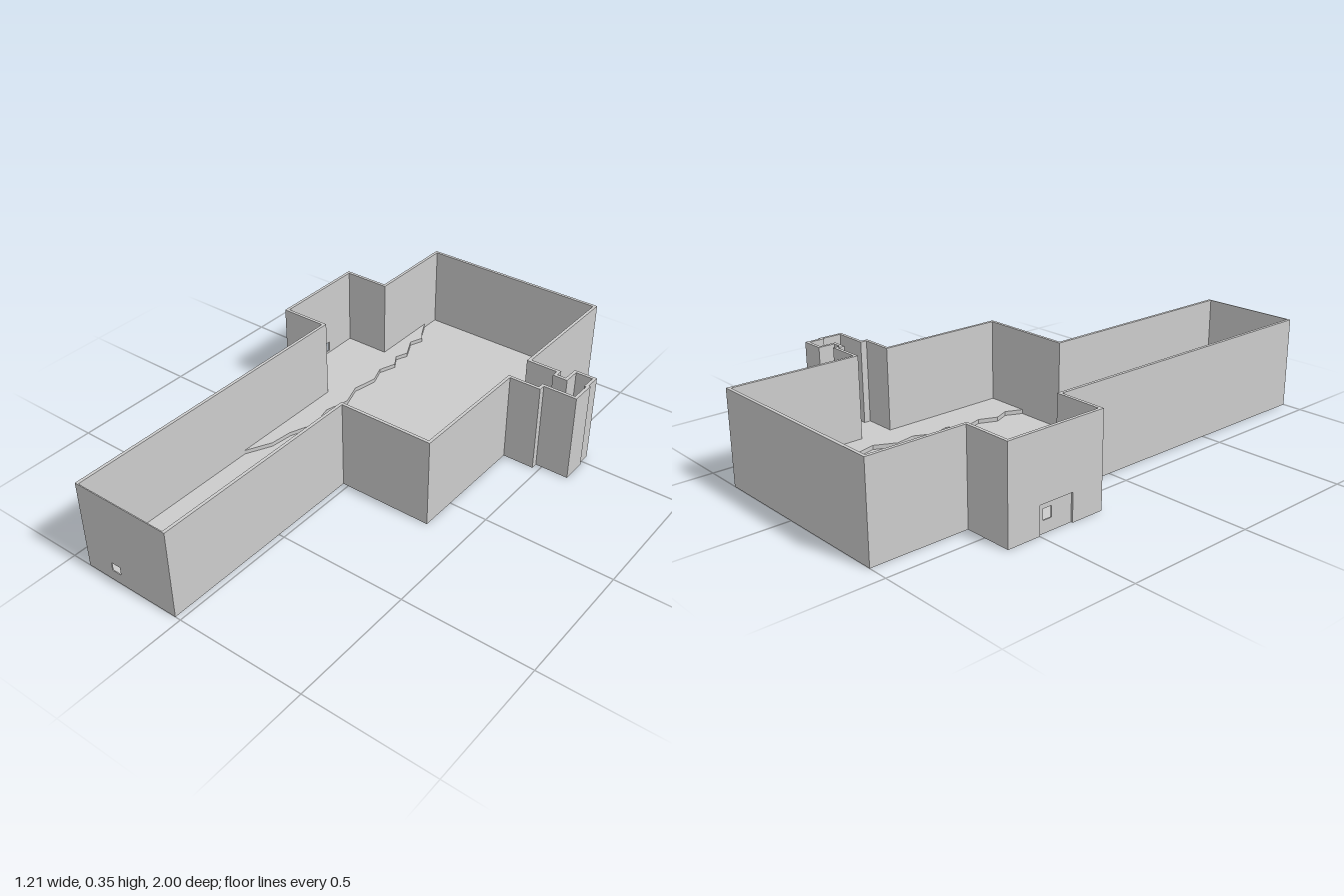
import * as THREE from 'three';

const HEIGHT = 0.35, WALL = 0.012, BASE = 0.02, BANK = 0.036;
const material = new THREE.MeshStandardMaterial({ color: 0xcccccc, flatShading: true });

function addMesh(group, name, geometry) {
  const mesh = new THREE.Mesh(geometry, material);
  mesh.name = name;
  group.add(mesh);
  return mesh;
}

// Raise a plan outline of [x, z] points from y0 to y1
function raise(points, y0, y1) {
  const shape = new THREE.Shape(points.map(([x, z]) => new THREE.Vector2(x, -z)));
  const geo = new THREE.ExtrudeGeometry(shape, { depth: y1 - y0, bevelEnabled: false });
  return geo.rotateX(-Math.PI / 2).translate(0, y0, 0);
}

// Offset a right-angled path towards the inside of the rooms
function inset(path, t) {
  const normal = (a, b) => {
    const dx = b[0] - a[0], dz = b[1] - a[1], l = Math.hypot(dx, dz);
    return [-dz / l, dx / l];
  };
  return path.map((p, i) => {
    const n1 = i > 0 ? normal(path[i - 1], p) : [0, 0];
    const n2 = i < path.length - 1 ? normal(p, path[i + 1]) : [0, 0];
    return [p[0] + t * (n1[0] + n2[0]), p[1] + t * (n1[1] + n2[1])];
  });
}

// Upright panel with one rectangular opening
function panel(u0, u1, v0, v1, hole, depth) {
  const rect = (a, b, c, d) => [[a, c], [b, c], [b, d], [a, d]].map(p => new THREE.Vector2(...p));
  const shape = new THREE.Shape(rect(u0, u1, v0, v1));
  shape.holes.push(new THREE.Path(rect(...hole)));
  return new THREE.ExtrudeGeometry(shape, { depth, bevelEnabled: false });
}

export function createModel() {
  const group = new THREE.Group();

  // Outer wall lines, from the front round to the doorway, then on to the front
  const sideWall = [[-0.422, 0.996], [-0.422, -0.23], [-0.607, -0.23], [-0.607, -0.36]];
  const mainWall = [
    [-0.607, -0.5], [-0.607, -0.63], [-0.422, -0.63], [-0.422, -1], [0.35, -1],
    [0.35, -0.503], [0.475, -0.503], [0.475, -0.475], [0.51, -0.475], [0.51, -0.54],
    [0.6, -0.54], [0.6, -0.48], [0.607, -0.48], [0.607, -0.38], [0.475, -0.38],
    [0.475, -0.355], [0.35, -0.355], [0.35, 0.145], [-0.022, 0.145], [-0.022, 0.996],
  ];
  const sideInner = inset(sideWall, WALL), mainInner = inset(mainWall, WALL);
  addMesh(group, 'sideWall', raise([...sideWall, ...[...sideInner].reverse()], 0, HEIGHT));
  addMesh(group, 'mainWall', raise([...mainWall, ...[...mainInner].reverse()], 0, HEIGHT));

  // Thin end wall with a small opening
  const end = panel(-0.422, -0.022, 0, HEIGHT, [-0.305, -0.265, 0.042, 0.075], 0.004);
  addMesh(group, 'frontWall', end).position.z = 0.996;

  // Doorway: wall above, and a recessed door with a hatch below
  const lintel = new THREE.BoxGeometry(WALL, HEIGHT - 0.105, 0.14);
  addMesh(group, 'doorLintel', lintel).position.set(-0.607 + WALL / 2, (HEIGHT + 0.105) / 2, -0.43);
  const door = panel(-0.5, -0.36, 0, 0.105, [-0.48, -0.445, 0.045, 0.085], 0.005);
  door.rotateY(-Math.PI / 2);
  addMesh(group, 'recessedDoor', door).position.x = -0.607 + WALL;

  // Low channel floor under everything
  addMesh(group, 'floor', raise([...sideInner, ...mainInner], 0, BASE));

  // Raised banks with ragged edges facing the channel
  const leftEdge = [
    [-0.41, -0.91], [-0.38, -0.85], [-0.35, -0.805], [-0.37, -0.75], [-0.33, -0.67], [-0.35, -0.62],
    [-0.32, -0.57], [-0.345, -0.5], [-0.32, -0.43], [-0.34, -0.33], [-0.31, -0.24], [-0.335, -0.14],
    [-0.31, -0.04], [-0.35, 0.06], [-0.36, 0.15], [-0.41, 0.25],
  ];
  const rightEdge = [
    [0.166, 0.133], [0.195, 0.07], [0.17, 0.01], [0.2, -0.06], [0.18, -0.13], [0.22, -0.2],
    [0.2, -0.27], [0.235, -0.34], [0.22, -0.42], [0.26, -0.5], [0.24, -0.58], [0.29, -0.66], [0.338, -0.75],
  ];
  const leftBank = [...sideInner.slice(1), ...mainInner.slice(0, 3), ...leftEdge];
  const rightBank = [...mainInner.slice(5, 18), ...rightEdge];
  addMesh(group, 'leftBank', raise(leftBank, BASE, BANK));
  addMesh(group, 'rightBank', raise(rightBank, BASE, BANK));

  return group;
}
